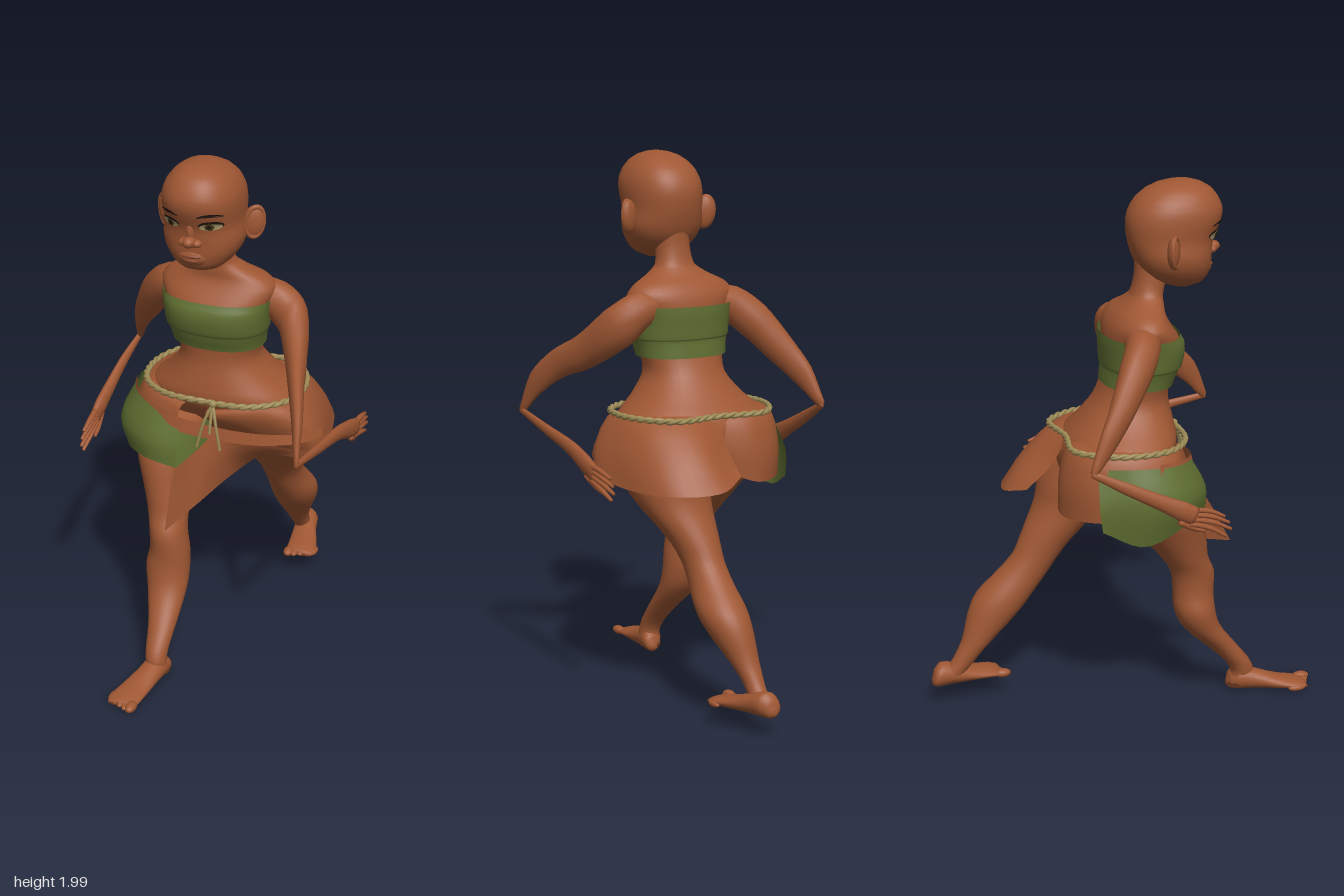
import * as THREE from 'three';

const V = (x, y, z) => new THREE.Vector3(x, y, z);
const material = (name, color) => Object.assign(new THREE.MeshStandardMaterial({ color, side: THREE.DoubleSide }), { name });

// Joins equal-length loops or rows of points into one smooth surface
function surface(rows, closed, caps) {
  const n = rows[0].length, pos = [], idx = [];
  rows.forEach(r => r.forEach(p => pos.push(p.x, p.y, p.z)));
  for (let i = 0; i < rows.length - 1; i++) for (let j = 0; j < (closed ? n : n - 1); j++) {
    const k = (j + 1) % n, a = i * n + j, b = i * n + k;
    idx.push(a, b, a + n, b, b + n, a + n);
  }
  if (caps) [0, rows.length - 1].forEach((i, end) => {
    const c = rows[i].reduce((s, p) => s.add(p), V(0, 0, 0)).divideScalar(n), m = pos.length / 3;
    pos.push(c.x, c.y, c.z);
    for (let j = 0; j < n; j++) {
      const a = i * n + j, b = i * n + (j + 1) % n;
      end ? idx.push(a, b, m) : idx.push(b, a, m);
    }
  });
  const g = new THREE.BufferGeometry();
  g.setAttribute('position', new THREE.Float32BufferAttribute(pos, 3));
  g.setIndex(idx);
  g.computeVertexNormals();
  return g;
}

// Resamples rows of numbers smoothly
function smoothRows(rows, steps) {
  const out = [];
  const at = (i, c) => rows[Math.min(rows.length - 1, Math.max(0, i))][c];
  for (let i = 0; i < rows.length - 1; i++) for (let s = 0; s < steps; s++) {
    const t = s / steps;
    out.push(rows[0].map((_, c) => {
      const p = at(i - 1, c), a = at(i, c), b = at(i + 1, c), q = at(i + 2, c);
      return c === 0 ? a + (b - a) * t
        : a + 0.5 * t * (b - p + t * (2 * p - 5 * a + 4 * b - q + t * (3 * (a - b) + q - p)));
    }));
  }
  out.push(rows[rows.length - 1]);
  return out;
}

// Level cross-sections: [y, x0, x1, z0, z1], or along z: [z, x0, x1, y0, y1]
function slices(rings, { axis = 'y', power = 2, caps = true, seg = 28 } = {}) {
  const bend = v => Math.sign(v) * Math.abs(v) ** (2 / power);
  return surface(smoothRows(rings, 3).map(([h, x0, x1, d0, d1]) => Array.from({ length: seg }, (_, j) => {
    const a = j / seg * Math.PI * 2, u = bend(Math.cos(a)), w = bend(Math.sin(a));
    const x = (x0 + x1) / 2 + u * (x1 - x0) / 2, d = (d0 + d1) / 2, r = (d1 - d0) / 2;
    return axis === 'y' ? V(x, h, d - w * r) : V(x, d + w * r, h);
  })), true, caps);
}

// Path with changing width and height: [x, y, z, halfWidth, halfHeight]
function limb(points, seg = 14) {
  const curve = new THREE.CatmullRomCurve3(points.map(p => V(p[0], p[1], p[2])));
  const n = (points.length - 1) * 4;
  return surface(Array.from({ length: n + 1 }, (_, i) => {
    const f = i / 4, k = Math.min(points.length - 2, Math.floor(f)), m = f - k;
    const w = [3, 4].map(c => points[k][c] * (1 - m) + points[k + 1][c] * m);
    const c = curve.getPoint(i / n), t = curve.getTangent(i / n);
    const b = t.clone().cross(V(0, 1, 0)).normalize(), up = t.clone().cross(b);
    return Array.from({ length: seg }, (_, j) => {
      const a = j / seg * Math.PI * 2;
      return c.clone().addScaledVector(b, Math.cos(a) * w[0]).addScaledVector(up, Math.sin(a) * w[1]);
    });
  }), true, true);
}

// Draped cloth from a few rows of [x, y, z]
function sheet(rows, nu = 18, nv = 6) {
  const lines = rows.map(r => new THREE.CatmullRomCurve3(r.map(p => V(...p))).getPoints(nu));
  const cols = lines[0].map((_, j) => new THREE.CatmullRomCurve3(lines.map(l => l[j])).getPoints(nv));
  return surface(cols, false, false);
}

// Adds a row that tucks the top of a skirt panel in to the waist
const tucked = rows => [rows[0].map(([x, y, z]) => [x * .8, y + .015, z * .8]), ...rows];

const HEAD = [
  [1.608, -.035, .035, .19, .255], [1.625, -.075, .075, .14, .295], [1.65, -.106, .106, .09, .315],
  [1.69, -.133, .133, .055, .325], [1.735, -.145, .145, .035, .328], [1.79, -.139, .139, .02, .335],
  [1.85, -.142, .142, .015, .362], [1.895, -.138, .138, .025, .368], [1.935, -.122, .122, .05, .352],
  [1.965, -.097, .097, .085, .328], [1.985, -.069, .069, .125, .295], [1.996, -.038, .038, .165, .26], [2, -.01, .01, .2, .23]];
const HEAD_POWER = 2.2;

// Depth of the face surface
function faceZ(x, y) {
  const rows = smoothRows(HEAD, 3), i = Math.max(1, rows.findIndex(r => r[0] >= y));
  const a = rows[i - 1], b = rows[i], t = (y - a[0]) / (b[0] - a[0]);
  const [, , x1, z0, z1] = a.map((v, c) => v + (b[c] - v) * t);
  const u = Math.min(1, Math.abs(x / x1));
  return (z0 + z1) / 2 + (z1 - z0) / 2 * (1 - u ** HEAD_POWER) ** (1 / HEAD_POWER);
}

export function createModel() {
  const model = new THREE.Group();
  model.name = 'figure';
  const skin = material('skin', 0x9f5733), green = material('green cloth', 0x5f6e31);
  const rope = material('rope', 0x9c8a55), dark = material('dark hair', 0x24160f);
  const white = material('eye white', 0xa8986a), iris = material('iris', 0x4f421c), lip = material('lips', 0x8e4b2f);
  const add = (name, geo, mat = skin, parent = model) => {
    const m = new THREE.Mesh(geo, mat);
    m.name = name;
    parent.add(m);
    return m;
  };
  const blob = (name, mat, [x, y, z], [a, b, c], parent) => {
    const m = add(name, new THREE.SphereGeometry(1, 20, 14), mat, parent);
    m.position.set(x, y, z);
    m.scale.set(a, b, c);
    return m;
  };

  // Head and face
  add('head', slices(HEAD, { power: HEAD_POWER, seg: 44 }));
  const patch = (name, mat, x, y, w, h, lift, arch = 0) => {
    const g = new THREE.CircleGeometry(1, 24), p = g.attributes.position;
    for (let i = 0; i < p.count; i++) {
      const u = p.getX(i), px = x + u * w, py = y + p.getY(i) * h - arch * u * u;
      p.setXYZ(i, px, py, faceZ(px, py) + lift);
    }
    g.computeVertexNormals();
    add(name, g, mat);
  };
  for (const s of [-1, 1]) {
    patch('eyelid', dark, s * .073, 1.808, .038, .019, .003);
    patch('eye', white, s * .073, 1.804, .035, .014, .005);
    patch('iris', iris, s * .071, 1.805, .015, .014, .007);
    patch('pupil', dark, s * .071, 1.805, .008, .008, .009);
    patch('brow', dark, s * .075, 1.852, .04, .006, .004, .009);
    blob('nostril', skin, [s * .024, 1.738, .328], [.019, .015, .02]);
    const ear = blob('ear', skin, [s * .162, 1.768, .14], [.04, .062, .022]);
    ear.rotation.set(0, s * .45, -s * .12);
    const rim = add('earRim', new THREE.TorusGeometry(.05, .009, 8, 24));
    rim.position.set(s * .168, 1.77, .145);
    rim.scale.set(.68, 1.1, 1);
    rim.rotation.set(0, s * .6, -s * .12);
  }
  blob('noseTip', skin, [0, 1.744, .338], [.023, .021, .03]);
  blob('noseBridge', skin, [0, 1.78, .325], [.016, .045, .02]);
  blob('muzzle', skin, [0, 1.68, .296], [.06, .038, .036]);
  blob('upperLip', lip, [0, 1.686, .321], [.04, .009, .015]);
  blob('lowerLip', lip, [0, 1.669, .318], [.034, .01, .015]);

  // Neck, torso and hips
  add('torso', slices([
    [.88, -.26, .26, -.22, .05], [.97, -.31, .31, -.24, .13], [1.05, -.285, .285, -.225, .185],
    [1.12, -.21, .21, -.17, .18], [1.2, -.152, .152, -.11, .165], [1.28, -.162, .162, -.075, .17],
    [1.36, -.18, .18, -.065, .2], [1.43, -.195, .195, -.07, .2], [1.485, -.215, .215, -.06, .165],
    [1.525, -.185, .185, -.035, .145], [1.555, -.125, .125, 0, .145], [1.59, -.075, .075, .03, .148],
    [1.66, -.064, .064, .045, .17], [1.74, -.064, .064, .045, .19]], { power: 2.2, seg: 36 }));

  // Folded chest wrap
  add('chestWrap', slices([
    [1.262, -.172, .172, -.082, .178], [1.3, -.178, .178, -.078, .192], [1.325, -.185, .185, -.076, .2],
    [1.332, -.19, .19, -.08, .21], [1.38, -.196, .196, -.082, .22], [1.42, -.202, .202, -.084, .217],
    [1.45, -.208, .208, -.082, .2]], { power: 2.3, caps: false, seg: 36 }), green);

  // Legs: left reaches back, right steps forward
  add('rightLeg', slices([
    [.03, -.135, -.055, .39, .475], [.1, -.142, -.062, .4, .49], [.2, -.162, -.055, .31, .42],
    [.3, -.2, -.05, .205, .345], [.38, -.218, -.05, .165, .32], [.45, -.203, -.053, .16, .315],
    [.53, -.205, -.065, .15, .315], [.6, -.225, -.07, .11, .285], [.7, -.26, -.07, .02, .27],
    [.82, -.305, -.05, -.09, .245], [.96, -.3, -.03, -.16, .17]]));
  add('leftLeg', slices([
    [.1, .065, .135, -.71, -.61], [.17, .06, .13, -.65, -.56], [.25, .05, .155, -.605, -.485],
    [.35, .04, .2, -.575, -.38], [.42, .04, .215, -.54, -.32], [.5, .05, .2, -.46, -.26],
    [.57, .05, .2, -.395, -.21], [.65, .04, .23, -.355, -.135], [.76, .02, .295, -.3, -.02],
    [.85, 0, .33, -.28, .05], [.96, 0, .32, -.24, .1]]));

  // Feet with five toes
  const foot = (name, s, x, y, z, k) => {
    const group = new THREE.Group();
    group.name = name;
    group.position.set(x, y, z);
    group.scale.set(1, 1, k);
    model.add(group);
    add('sole', slices([[0, 0, .012, .012, .035], [.012, .002, .032, .002, .07], [.04, .01, .043, 0, .092], [.11, .022, .046, 0, .076],
      [.19, .04, .055, 0, .05], [.26, .053, .06, 0, .036], [.295, .053, .054, .002, .026]]
      .map(([d, c, w, lo, hi]) => [d, s * c - w, s * c + w, lo, hi]), { axis: 'z' }), skin, group);
    for (let i = 0; i < 5; i++) {
      const r = i ? .0145 : .02;
      blob('toe', skin, [s * (.012 + i * .023), r * .85, .3 - i * .012], [r, r * .85, .034], group);
    }
  };
  foot('rightFoot', -1, -.088, .008, .39, 1);
  foot('leftFoot', 1, .09, .08, -.725, .92);

  // Arms bent sharply, with long thin forearms
  add('leftUpperArm', limb([[.1, 1.455, .04, .07, .055], [.2, 1.435, .02, .064, .07], [.27, 1.38, .04, .06, .08],
    [.335, 1.28, .17, .04, .066], [.38, 1.222, .29, .028, .056], [.418, 1.145, .385, .02, .045], [.445, 1.025, .465, .009, .014]]));
  add('rightUpperArm', limb([[-.1, 1.455, .04, .07, .055], [-.2, 1.435, .015, .064, .07], [-.27, 1.375, -.03, .06, .07],
    [-.345, 1.27, -.1, .045, .058], [-.4, 1.18, -.165, .028, .045], [-.44, 1.07, -.235, .012, .016]]));
  const hand = (name, path, tip, fall) => {
    add(name + 'Forearm', limb(path));
    const [x, y, z] = path[path.length - 1], dir = Math.sign(tip - z);
    for (let i = 0; i < 4; i++) {
      const d = (i - 1.5) * .017, end = tip - dir * (Math.abs(i - 1.3) * .018);
      add(name + 'Finger', limb([[x, y + d, z - dir * .02, .012, .01], [x + .004, y + d * 1.3 - fall * .4, (z + end) / 2, .011, .009],
        [x, y + d * 1.5 - fall, end, .006, .006]], 8));
    }
    add(name + 'Thumb', limb([[x, y - .015, z - dir * .06, .01, .012], [x * .98, y - .05, z, .009, .01],
      [x * .97, y - .065, z + dir * .04, .005, .006]], 8));
  };
  hand('left', [[.445, 1.025, .47, .008, .012], [.453, .985, .25, .014, .02], [.46, .95, .05, .019, .028],
    [.466, .915, -.06, .02, .036], [.469, .89, -.13, .016, .034]], -.275, .035);
  hand('right', [[-.44, 1.07, -.24, .008, .012], [-.458, 1.01, -.12, .014, .022], [-.466, .95, 0, .019, .028],
    [-.469, .91, .08, .02, .036], [-.47, .885, .13, .016, .034]], .27, .05);

  // Skirt panels over the seat and hips
  add('leftSkirt', sheet(tucked([
    [[0, 1.05, -.215], [.13, 1.06, -.235], [.25, 1.06, -.17], [.295, 1.06, -.03], [.26, 1.05, .12], [.13, 1.03, .18], [0, 1.01, .195]],
    [[0, .96, -.27], [.14, .95, -.35], [.28, .95, -.28], [.355, .95, -.08], [.35, .95, .08], [.2, .945, .13], [.03, .96, .16]],
    [[0, .87, -.37], [.12, .835, -.43], [.29, .83, -.37], [.365, .83, -.16], [.38, .86, .04], [.27, .86, .07], [.06, .88, .06]]]), 28, 8));
  add('rightSkirt', sheet(tucked([
    [[0, 1.05, -.215], [-.13, 1.06, -.235], [-.25, 1.06, -.17], [-.295, 1.06, -.03], [-.26, 1.05, .12], [-.1, 1.02, .195]],
    [[0, .96, -.24], [-.13, .94, -.275], [-.26, .94, -.215], [-.335, .94, -.04], [-.31, .93, .12], [-.11, .92, .22]],
    [[0, .87, -.235], [-.13, .82, -.28], [-.25, .82, -.22], [-.335, .83, -.06], [-.31, .84, .12], [-.11, .84, .23]]]), 24, 8));
  add('frontApron', sheet([
    [[-.085, .86, .265], [-.05, .865, .15], [.02, .87, .07], [.18, .89, .07], [.375, .91, .045]],
    [[-.085, .75, .33], [-.04, .76, .17], [.03, .78, .05], [.17, .83, .05], [.36, .86, .05]],
    [[-.08, .615, .4], [-.03, .635, .2], [.03, .665, -.01], [.15, .77, 0], [.34, .82, .05]]], 24));
  add('hipBand', sheet([
    [[-.335, 1.04, .04], [-.28, 1.03, .14], [-.14, 1.005, .22], [.02, .985, .228], [.2, .965, .19], [.33, .95, .11], [.385, .94, .02]],
    [[-.35, .99, .04], [-.29, .975, .15], [-.14, .95, .232], [.02, .935, .235], [.2, .92, .195], [.335, .915, .115], [.392, .91, .02]]], 24, 2));

  // Green hip cloth, folding inwards at the front
  add('hipCloth', sheet([
    [[-.27, 1.02, -.17], [-.335, 1.03, -.04], [-.31, 1.02, .11], [-.2, 1, .2], [-.09, .96, .235]],
    [[-.32, .9, -.18], [-.382, .91, -.02], [-.365, .9, .13], [-.22, .9, .25], [-.085, .89, .27]],
    [[-.325, .8, -.17], [-.355, .74, -.02], [-.325, .8, .15], [-.21, .82, .255], [-.08, .82, .29]]]), green);
  add('hipClothFold', sheet([
    [[-.09, .96, .235], [-.045, .945, .17], [-.03, .94, .08]],
    [[-.085, .89, .27], [-.04, .9, .18], [-.025, .9, .08]],
    [[-.08, .82, .29], [-.035, .855, .19], [-.02, .865, .08]]], 8), green);

  // Twisted rope belt with hanging ends
  const loop = new THREE.CatmullRomCurve3([[0, .205], [.16, .19], [.265, .11], [.298, -.02], [.265, -.145], [.18, -.235], [0, -.22],
    [-.18, -.235], [-.265, -.145], [-.298, -.02], [-.265, .11], [-.16, .19]].map(([x, z]) => V(x, 1.067, z)), true);
  for (const phase of [0, Math.PI]) {
    const strand = Array.from({ length: 200 }, (_, i) => {
      const p = loop.getPointAt(i / 200), a = i / 200 * Math.PI * 44 + phase;
      const out = V(p.x, 0, p.z).normalize();
      return p.addScaledVector(out, Math.cos(a) * .0045).add(V(0, Math.sin(a) * .0045, 0));
    });
    add('ropeBelt', new THREE.TubeGeometry(new THREE.CatmullRomCurve3(strand, true), 400, .008, 8, true), rope);
  }
  for (const [x, y] of [[-.015, .9], [.075, .9], [.035, .96]]) {
    const path = new THREE.CatmullRomCurve3([V(.035, 1.07, .21), V((x + .035) / 2, 1, .236), V(x, y, .245)]);
    add('ropeEnd', new THREE.TubeGeometry(path, 12, .006, 6), rope);
  }
  blob('ropeKnot', rope, [.035, 1.066, .212], [.015, .014, .012]);
  return model;
}
